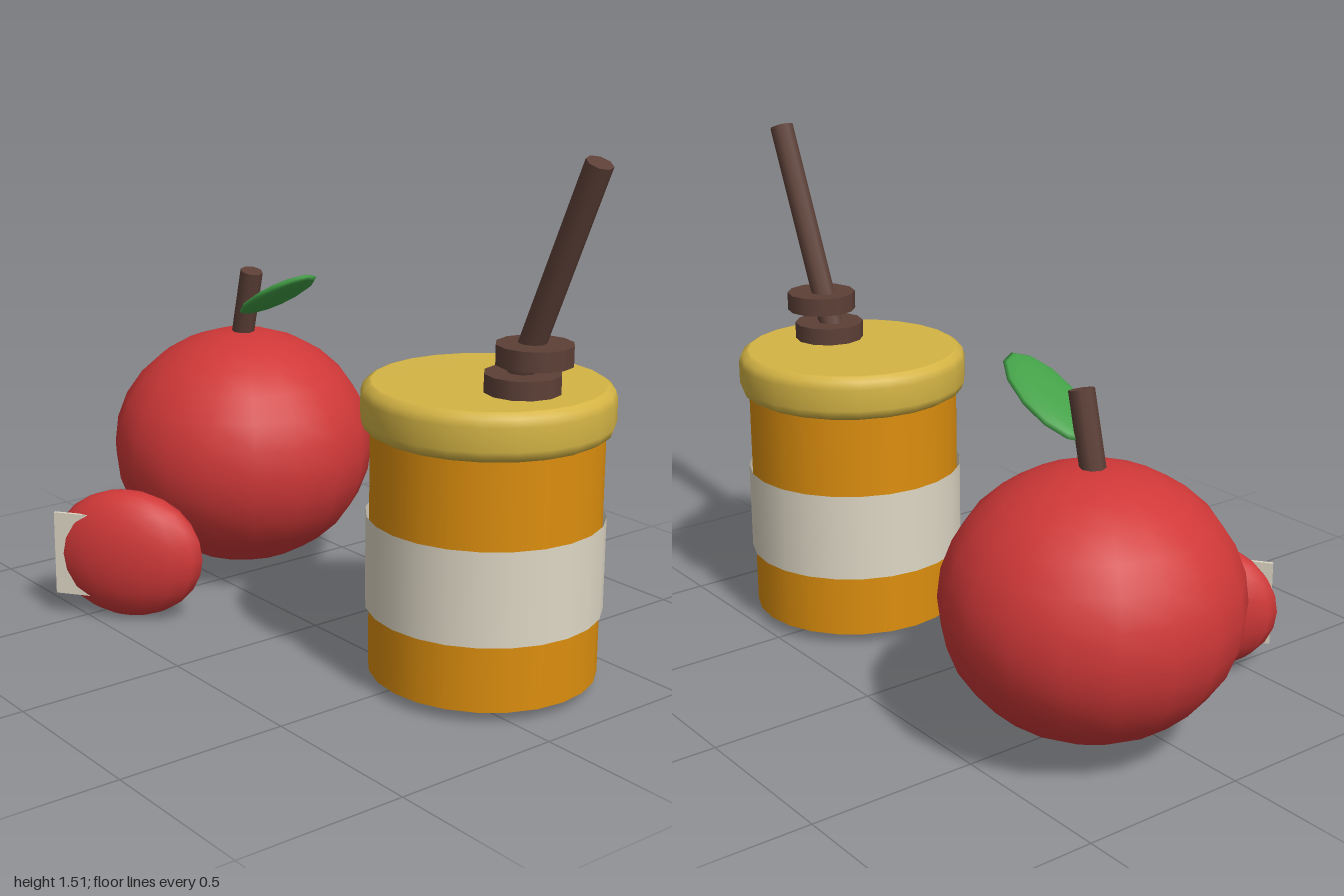
import * as THREE from 'three';

const mat = (name, color, side = THREE.FrontSide) =>
  Object.assign(new THREE.MeshStandardMaterial({ color, side }), { name });

export function createModel() {
  const model = new THREE.Group();
  const red = mat('apple red', 0xd03838);
  const brown = mat('wood brown', 0x5d4037);
  const green = mat('leaf green', 0x43a047);
  const amber = mat('honey amber', 0xdc8e0e);
  const gold = mat('lid gold', 0xd4b445);
  const cream = mat('label cream', 0xded7c5, THREE.DoubleSide);

  const add = (parent, name, geometry, material, x, y, z) => {
    const mesh = new THREE.Mesh(geometry, material);
    mesh.name = name;
    mesh.position.set(x, y, z);
    parent.add(mesh);
    return mesh;
  };
  const group = (name, x, y, z) => {
    const g = new THREE.Group();
    g.name = name;
    g.position.set(x, y, z);
    model.add(g);
    return g;
  };
  // Round rod between two points
  const rod = (parent, name, a, b, radius, sides) => {
    const dir = b.clone().sub(a);
    const mid = a.clone().add(b).multiplyScalar(0.5);
    const mesh = add(parent, name, new THREE.CylinderGeometry(radius, radius, dir.length(), sides),
      brown, mid.x, mid.y, mid.z);
    mesh.quaternion.setFromUnitVectors(new THREE.Vector3(0, 1, 0), dir.normalize());
  };

  // Whole apple with a leaning stem and one leaf
  const apple = group('apple', -0.583, 0, -0.15);
  const fruit = add(apple, 'appleBody', new THREE.SphereGeometry(0.42, 18, 14), red, 0, 0.42, 0);
  fruit.scale.y = 0.905;
  fruit.rotation.y = Math.PI / 2;
  rod(apple, 'appleStem', new THREE.Vector3(0, 0.77, 0), new THREE.Vector3(0.057, 1.0, 0), 0.036, 8);
  const leaf = add(apple, 'leaf', new THREE.SphereGeometry(1, 12, 8), green, 0.193, 0.945, 0);
  leaf.scale.set(0.185, 0.023, 0.09);
  leaf.rotation.z = 0.48;

  // Flattened apple piece with a pale slab showing at one side
  const piece = group('applePiece', -0.425, 0.203, 0.395);
  piece.rotation.y = 0.64;
  const skin = add(piece, 'pieceSkin', new THREE.SphereGeometry(1, 16, 12), red, 0, 0, 0);
  skin.scale.set(0.24, 0.2, 0.104);
  add(piece, 'pieceFlesh', new THREE.BoxGeometry(0.28, 0.26, 0.01), cream, -0.075, 0, 0.057);

  // Jar, label band and rounded lid
  const jar = group('jar', 0.577, 0, -0.15);
  add(jar, 'jarBody', new THREE.CylinderGeometry(0.323, 0.323, 0.71, 24), amber, 0, 0.39, 0);
  add(jar, 'label', new THREE.CylinderGeometry(0.333, 0.333, 0.268, 24, 1, true), cream, 0, 0.357, 0);
  const lidProfile = [[0, 0.732], [0.325, 0.732], [0.342, 0.742], [0.35, 0.765], [0.35, 0.83],
    [0.343, 0.852], [0.325, 0.865], [0.32, 0.866], [0, 0.866]].map(([x, y]) => new THREE.Vector2(x, y));
  add(jar, 'lid', new THREE.LatheGeometry(lidProfile, 24), gold, 0, 0, 0);

  // Dipper: two discs on a slanted handle
  const dipper = group('dipper', 0, 0, -0.145);
  [[0.715, 0.89], [0.757, 0.977]].forEach(([x, y], i) =>
    add(dipper, `dipperDisc${i + 1}`, new THREE.CylinderGeometry(0.106, 0.106, 0.055, 12), brown, x, y, 0));
  rod(dipper, 'dipperHandle', new THREE.Vector3(0.695, 0.885, 0), new THREE.Vector3(0.962, 1.5, 0), 0.037, 8);

  return model;
}
